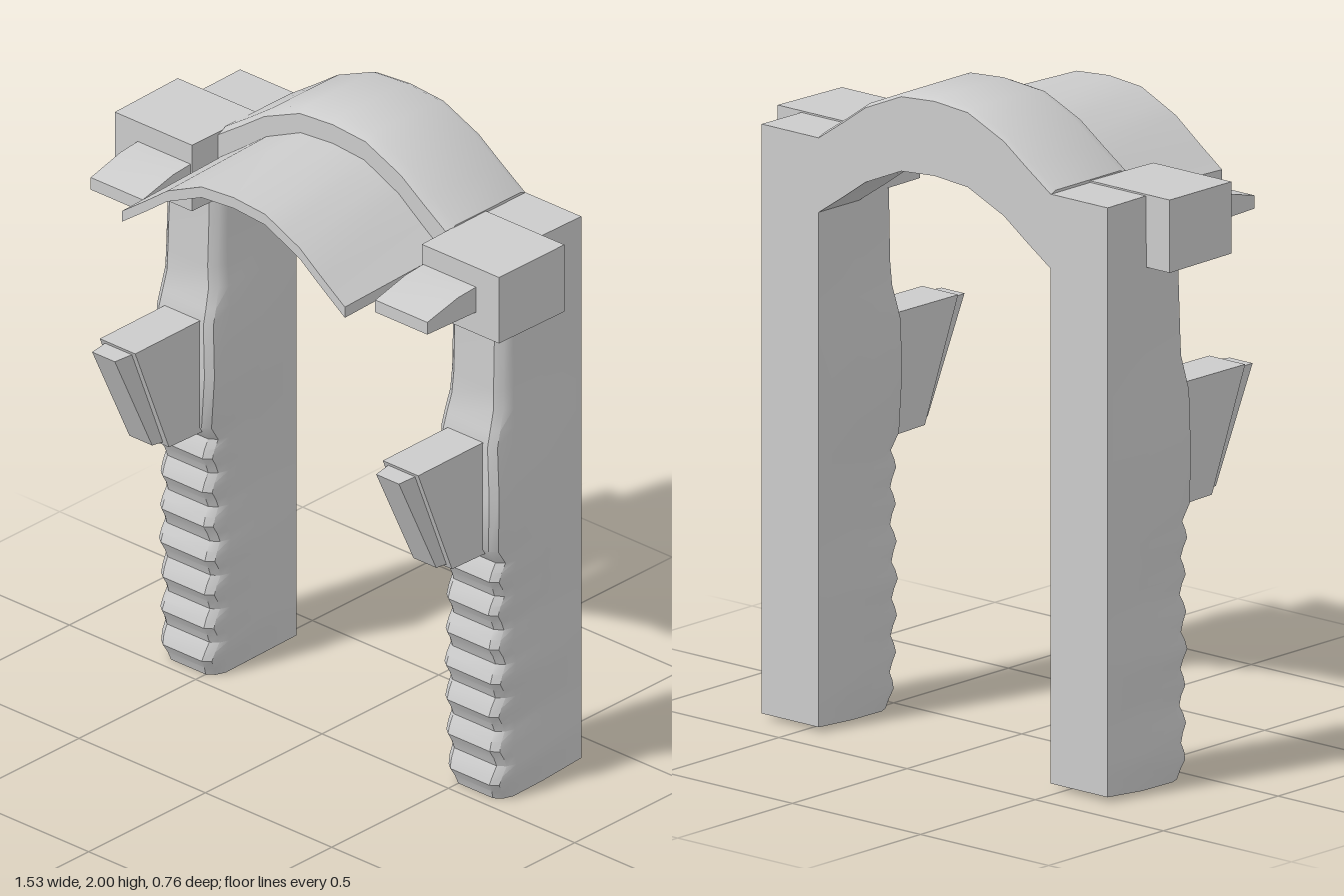
import * as THREE from 'three';
import { toCreasedNormals } from 'three/addons/utils/BufferGeometryUtils.js';

const material = new THREE.MeshStandardMaterial({ color: 0xcccccc });

// Skin equal-length rings of [x, y, z]; rings run counter-clockwise seen from the last ring.
function loft(rings) {
  const n = rings[0].length, index = [];
  for (let r = 0; r < rings.length - 1; r++) {
    for (let i = 0; i < n; i++) {
      const a = r * n + i, b = r * n + (i + 1) % n;
      index.push(a, b, b + n, a, b + n, a + n);
    }
  }
  const last = (rings.length - 1) * n;
  for (let i = 1; i < n - 1; i++) {
    index.push(0, i + 1, i, last, last + i, last + i + 1);
  }
  const geometry = new THREE.BufferGeometry();
  geometry.setAttribute('position', new THREE.Float32BufferAttribute(rings.flat(2), 3));
  geometry.setIndex(index);
  return toCreasedNormals(geometry, 0.6);
}

// Reflect rings across x = 0, reversing their order of corners to keep faces outward.
const reflect = (rings) => rings.map((ring) => ring.map(([x, y, z]) => [-x, y, z]).reverse());

// Rectangle in the xy plane at depth z, for solids lofted towards +z.
const rect = (x0, x1, y0, y1, z) => [[x0, y0, z], [x1, y0, z], [x1, y1, z], [x0, y1, z]];

// Piecewise linear lookup through [key, value] pairs.
function sample(table, t) {
  for (let i = 1; i < table.length; i++) {
    const [k0, v0] = table[i - 1], [k1, v1] = table[i];
    if (t <= k1) return v0 + (v1 - v0) * (t - k0) / (k1 - k0);
  }
  return table[table.length - 1][1];
}

// Upright post: square back, softened front corners, finger ripples at the bottom.
function postRings() {
  const inner = [[0, 0.465], [0.1, 0.45], [0.4, 0.442], [0.58, 0.452], [0.78, 0.45], [1, 0.435], [1.2, 0.44], [1.35, 0.452], [1.8, 0.45]];
  const outer = [[0, 0.672], [0.1, 0.688], [0.25, 0.678], [0.4, 0.688], [0.58, 0.678], [0.8, 0.688], [1, 0.692], [1.3, 0.68], [1.8, 0.675]];
  const front = [[0, -0.03], [0.78, -0.025], [0.83, -0.005], [1.17, -0.005], [1.28, -0.035], [1.5, -0.042], [1.8, -0.045]];
  const heights = [];
  for (let i = 0; i <= 28; i++) heights.push(i * 0.0279);
  heights.push(0.83, 1, 1.17, 1.22, 1.28, 1.35, 1.5, 1.795);
  return heights.map((y) => {
    const ripple = y < 0.79 ? 0.013 * Math.cos((y - 0.06) * Math.PI * 2 / 0.1116) : 0;
    const a = sample(inner, y), b = sample(outer, y), f = sample(front, y) + ripple;
    const lift = y === 0 ? 0.015 : 0;
    return [
      [0.452, y + lift, -0.38], [0.675, y + lift, -0.38],
      [b - 0.003, y, -0.22], [b, y, -0.085 + ripple * 0.5], [b - 0.012, y, f - 0.018], [b - 0.035, y, f],
      [a + 0.035, y, f], [a + 0.012, y, f - 0.018], [a, y, -0.085 + ripple * 0.5], [a + 0.003, y, -0.22],
    ];
  });
}

// Rings of each part of the left-hand upright.
const uprightParts = {
  post: postRings(),
  shoulderBlock: [rect(0.45, 0.765, 1.58, 1.8, -0.21), rect(0.455, 0.76, 1.58, 1.797, 0.065)],
  shoulderLug: [rect(0.46, 0.67, 1.65, 1.735, 0.04), rect(0.46, 0.668, 1.652, 1.727, 0.14), rect(0.46, 0.666, 1.655, 1.695, 0.27)],
  // Sloped-front grip with a raised panel on its face
  grip: [
    rect(0.49, 0.63, 0.81, 1.18, -0.06),
    [[0.49, 0.815, 0.125], [0.63, 0.815, 0.125], [0.63, 1.178, 0.27], [0.49, 1.178, 0.27]],
  ],
  gripPanel: [
    [[0.505, 0.825, 0.1], [0.615, 0.825, 0.1], [0.615, 1.168, 0.25], [0.505, 1.168, 0.25]],
    [[0.517, 0.828, 0.168], [0.607, 0.828, 0.168], [0.607, 1.165, 0.328], [0.517, 1.165, 0.328]],
  ],
};

// Arch centre drop as a function of distance from the middle.
const drop = [[0, 0], [0.13, 0.01], [0.27, 0.07], [0.36, 0.133], [0.46, 0.2]];
const archX = [-0.455, -0.36, -0.27, -0.2, -0.13, 0, 0.13, 0.2, 0.27, 0.36, 0.455];

// Sweep a [z, y] section along the arch towards +x.
const sweep = (section, factor, end) => loft(archX.map((x) => {
  const d = sample(drop, Math.abs(x)) * factor;
  return section.map(([z, y]) => [x * end, y - d, z]);
}));

export function createModel() {
  const model = new THREE.Group();
  const add = (parent, name, geometry) => {
    const mesh = new THREE.Mesh(geometry, material);
    mesh.name = name;
    parent.add(mesh);
  };

  // Matching uprights
  for (const side of ['left', 'right']) {
    const upright = new THREE.Group();
    upright.name = `${side}Upright`;
    for (const [name, rings] of Object.entries(uprightParts)) {
      // Post rings face up with z running back to front, so their order is turned
      const ordered = name === 'post' ? rings.map((ring) => [...ring].reverse()) : rings;
      add(upright, name, loft(side === 'left' ? ordered : reflect(ordered)));
    }
    model.add(upright);
  }

  // Thick arch joining the uprights, its lower front edge bevelled
  add(model, 'arch', sweep([
    [-0.38, 1.765], [-0.38, 1.99], [-0.36, 2], [-0.08, 2], [-0.045, 1.985],
    [-0.045, 1.85], [-0.09, 1.8], [-0.2, 1.765],
  ], 1, 1));

  // Thin curved visor in front of the arch
  add(model, 'visor', sweep([
    [-0.08, 1.89], [-0.08, 1.925], [0.38, 1.91], [0.38, 1.875],
  ], 1.03, 0.97));
  return model;
}
